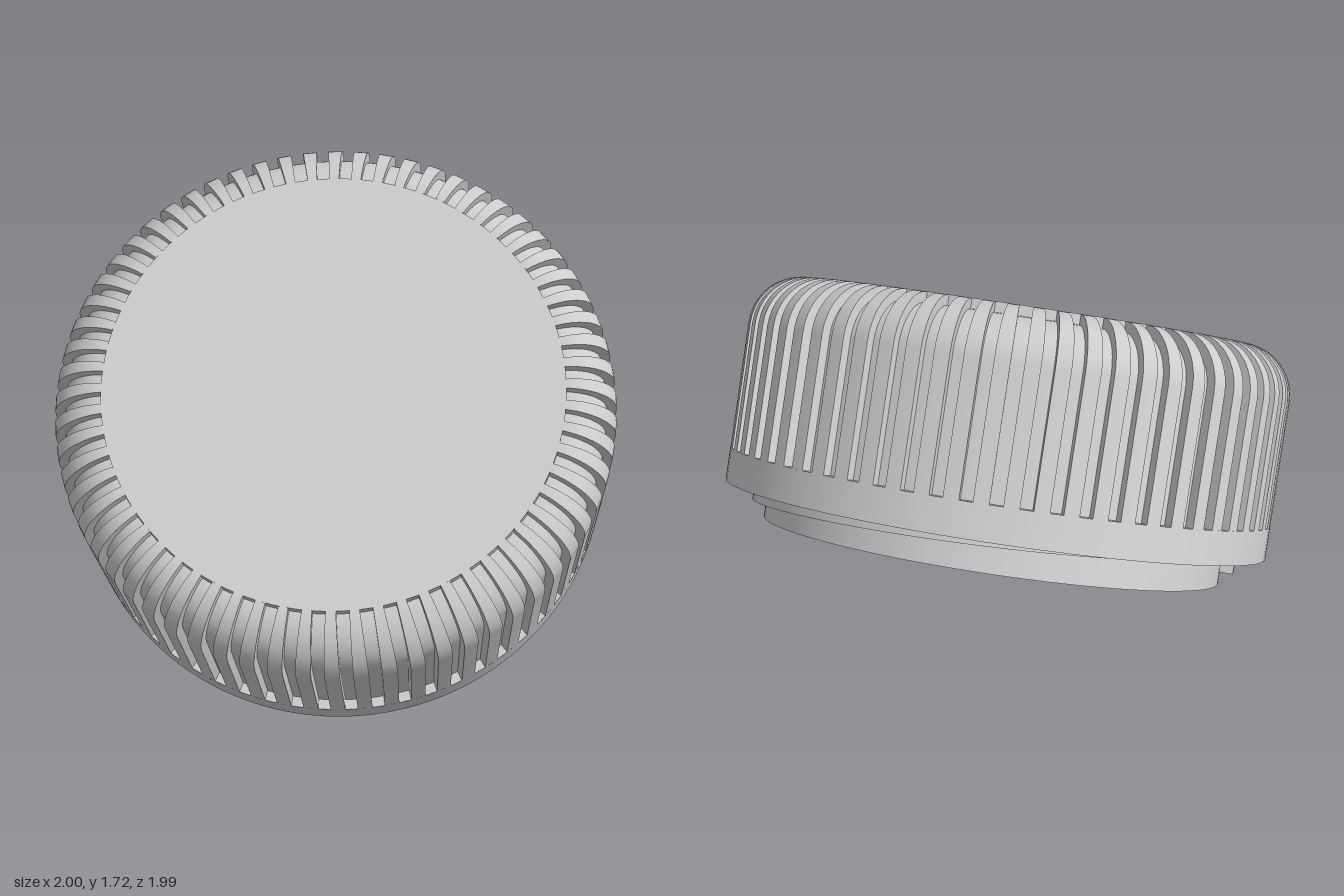
import * as THREE from 'three';

const RADIUS = 1, TOP = 0.765, FILLET = 0.19, SLOTS = 64;
const SLOT_LOW = 0.12, SLOT_DEPTH = 0.036, SLOT_HALF = 0.0225;
const COLLAR = 0.845, BORE = 0.755, COLLAR_LOW = -0.117, BORE_TOP = 0.5;
const UP = new THREE.Vector3(0, 1, 0);

// Collects quads; winding always follows the given normals.
function quadBuilder() {
  const pos = [], nor = [];
  return {
    quad(p, n) {
      const list = Array.isArray(n) ? n : [n, n, n, n];
      const face = p[2].clone().sub(p[0]).cross(p[3].clone().sub(p[1]));
      const order = face.dot(list[0]) >= 0 ? [0, 1, 2, 0, 2, 3] : [0, 2, 1, 0, 3, 2];
      for (const i of order) {
        pos.push(p[i].x, p[i].y, p[i].z);
        nor.push(list[i].x, list[i].y, list[i].z);
      }
    },
    build() {
      const g = new THREE.BufferGeometry();
      g.setAttribute('position', new THREE.Float32BufferAttribute(pos, 3));
      g.setAttribute('normal', new THREE.Float32BufferAttribute(nor, 3));
      return g;
    },
  };
}

// Side profile with a rounded shoulder, inset by a given depth.
function sideProfile(inset) {
  const rows = [{ r: RADIUS - inset, y: SLOT_LOW, t: 0 }];
  const steps = 10, c = RADIUS - FILLET, h = TOP - FILLET, f = FILLET - inset;
  for (let i = 0; i <= steps; i++) {
    const t = (i / steps) * Math.PI / 2;
    rows.push({ r: c + f * Math.cos(t), y: h + f * Math.sin(t), t });
  }
  return rows;
}

// Grip: ribs on the outer profile, parallel-sided slots cut down to the inner one.
function gripGeometry() {
  const b = quadBuilder();
  const outer = sideProfile(0), inner = sideProfile(SLOT_DEPTH);
  const step = Math.PI * 2 / SLOTS, last = outer.length - 1;
  for (let s = 0; s < SLOTS; s++) {
    const a = s * step;
    const at = (row, side, turn = a) => new THREE.Vector3(
      side * SLOT_HALF, row.y, Math.sqrt(row.r ** 2 - SLOT_HALF ** 2)).applyAxisAngle(UP, turn);
    const normal = (p, row) => new THREE.Vector3(p.x, 0, p.z).normalize()
      .multiplyScalar(Math.cos(row.t)).setY(Math.sin(row.t));
    const dir = (x, y, z) => new THREE.Vector3(x, y, z).applyAxisAngle(UP, a);
    for (let i = 0; i < last; i++) {
      const o = outer[i], o2 = outer[i + 1], n = inner[i], n2 = inner[i + 1];
      const rib = [at(o, 1), at(o, -1, a + step), at(o2, -1, a + step), at(o2, 1)];
      b.quad(rib, rib.map((p, k) => normal(p, k < 2 ? o : o2)));
      const floor = [at(n, -1), at(n, 1), at(n2, 1), at(n2, -1)];
      b.quad(floor, floor.map((p, k) => normal(p, k < 2 ? n : n2)));
      for (const side of [-1, 1]) {
        b.quad([at(o, side), at(n, side), at(n2, side), at(o2, side)], dir(-side, 0, 0));
      }
    }
    // Slot ends
    b.quad([at(outer[0], -1), at(outer[0], 1), at(inner[0], 1), at(inner[0], -1)], UP);
    b.quad([at(outer[last], -1), at(outer[last], 1), at(inner[last], 1), at(inner[last], -1)],
      dir(0, 0, 1));
  }
  return b.build();
}

// Thread ridge climbing around the collar until it runs into the rim.
function threadGeometry() {
  const b = quadBuilder(), segs = 48, sweep = Math.PI * 0.89, half = 0.018;
  const section = [[COLLAR - 0.01, -half], [0.895, -half], [0.895, half], [COLLAR - 0.01, half]];
  const ring = (k) => {
    const u = k / segs, phi = Math.PI / 2 + u * sweep;
    return section.map(([r, y]) => new THREE.Vector3(
      r * Math.sin(phi), y - 0.05 + 0.07 * u, r * Math.cos(phi)));
  };
  const radial = (p) => new THREE.Vector3(p.x, 0, p.z).normalize();
  for (let k = 0; k < segs; k++) {
    const p = ring(k), q = ring(k + 1);
    b.quad([p[0], p[1], q[1], q[0]], UP.clone().negate());
    const face = [p[1], p[2], q[2], q[1]];
    b.quad(face, face.map(radial));
    b.quad([p[2], p[3], q[3], q[2]], UP);
  }
  b.quad(ring(0), new THREE.Vector3(0, 0, 1));
  return b.build();
}

export function createModel() {
  const grey = new THREE.MeshStandardMaterial({ color: 0xcccccc });
  grey.name = 'light grey plastic';

  const cap = new THREE.Group();
  cap.name = 'cap';
  const add = (name, geometry) => {
    const mesh = new THREE.Mesh(geometry, grey);
    mesh.name = name;
    cap.add(mesh);
    return mesh;
  };

  // Turned surfaces, one per straight piece so the edges stay sharp
  const turned = [
    ['boreCeiling', 0, BORE_TOP, BORE, BORE_TOP],
    ['boreWall', BORE, BORE_TOP, BORE, COLLAR_LOW],
    ['collarEnd', BORE, COLLAR_LOW, COLLAR, COLLAR_LOW],
    ['collarWall', COLLAR, COLLAR_LOW, COLLAR, 0],
    ['rimUnderside', COLLAR, 0, RADIUS, 0],
    ['rimBand', RADIUS, 0, RADIUS, SLOT_LOW],
    ['topDisc', RADIUS - FILLET, TOP, 0, TOP],
  ];
  for (const [name, r0, y0, r1, y1] of turned) {
    add(name, new THREE.LatheGeometry(
      [new THREE.Vector2(r0, y0), new THREE.Vector2(r1, y1)], SLOTS * 2));
  }

  add('ribbedGrip', gripGeometry());

  // Two opposite thread starts
  const thread = threadGeometry();
  add('threadLeft', thread);
  add('threadRight', thread).rotation.y = Math.PI;

  // The cap leans forward on its collar and rim
  cap.rotation.x = 0.631;
  cap.position.set(0, 0.593, -0.187);

  const model = new THREE.Group();
  model.name = 'ribbedCap';
  model.add(cap);
  return model;
}
